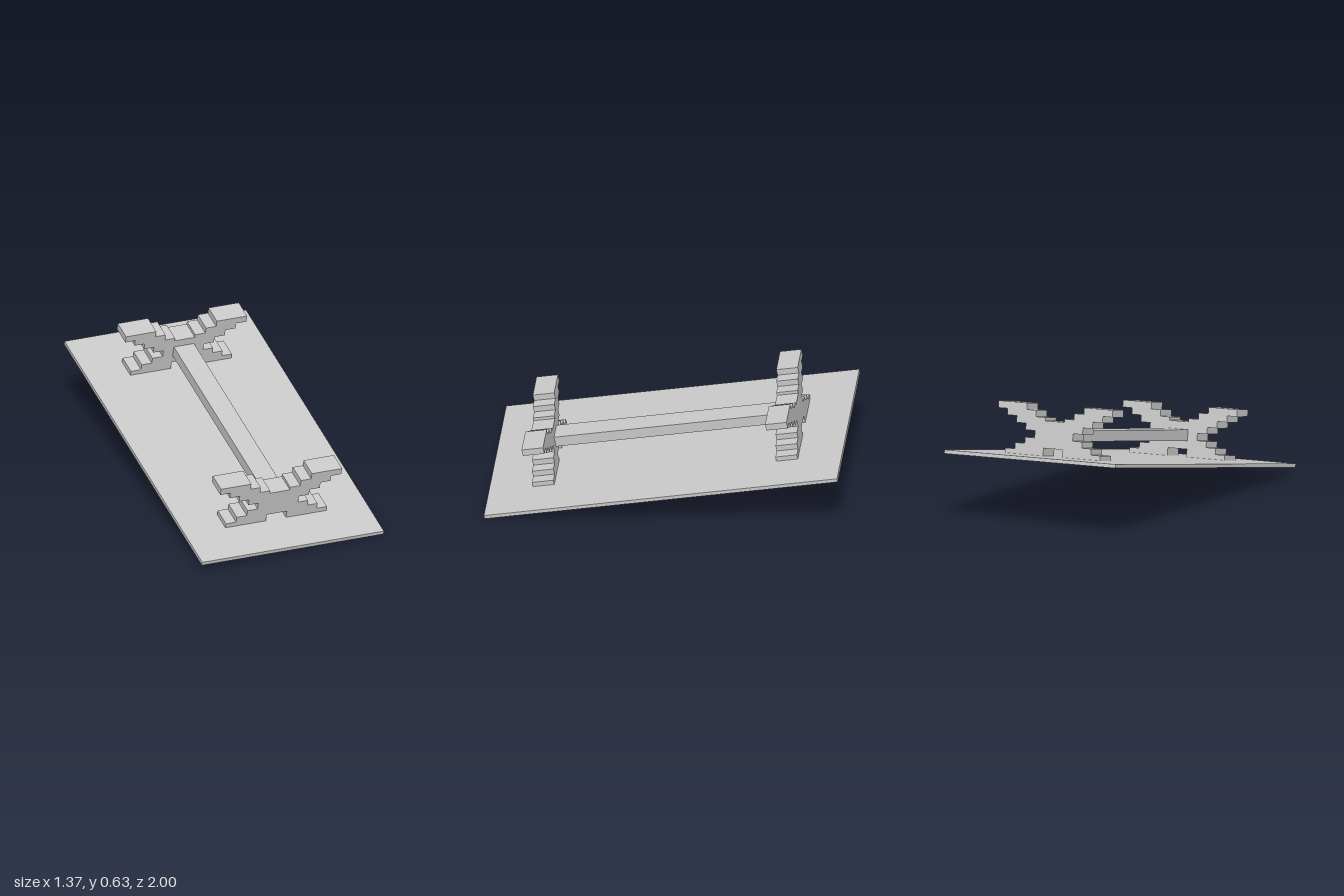
import * as THREE from 'three';

export function createModel() {
  const mat = new THREE.MeshStandardMaterial({ color: 0xcccccc, flatShading: true });
  const S = 0.0567; // stair step width
  const model = new THREE.Group();
  model.name = 'tiltedStand';

  // everything is built flat (plate top at y = 0), then tilted and turned
  const body = new THREE.Group();
  body.name = 'body';
  body.rotation.set(0.198, -0.2, 0, 'XYZ');
  body.position.y = 0.22;
  model.add(body);

  function box(name, w, h, d, y) {
    const m = new THREE.Mesh(new THREE.BoxGeometry(w, h, d), mat);
    m.name = name;
    m.position.y = y;
    body.add(m);
  }

  // base plate and the beam joining the two supports
  box('basePlate', 18 * S, 0.02, 33 * S, -0.01);
  box('beam', 2 * S, 0.058, 1.18, 0.113);

  // right half of the stepped X profile: x in steps, y in units
  const half = [
    [1, 0.041], [1, 0], [5, 0], [5, 0.026], [4, 0.026], [4, 0.058], [3, 0.058], [3, 0.09],
    [2, 0.09], [2, 0.128], [3, 0.128], [3, 0.162], [4, 0.162], [4, 0.197], [5, 0.197],
    [5, 0.23], [6, 0.23], [6, 0.267], [3, 0.267], [3, 0.233], [2, 0.233], [2, 0.2],
    [1, 0.2], [1, 0.183],
  ];
  const mirrored = half.map(([x, y]) => [-x, y]).reverse();
  const profile = new THREE.Shape(
    [...half, ...mirrored].map(([x, y]) => new THREE.Vector2(x * S, y))
  );
  const depth = 2 * S;
  const supportGeo = new THREE.ExtrudeGeometry(profile, { depth, bevelEnabled: false });
  supportGeo.translate(0, 0, -depth / 2);

  // one support at each end of the beam
  for (const [name, side] of [['frontSupport', 1], ['backSupport', -1]]) {
    const support = new THREE.Mesh(supportGeo, mat);
    support.name = name;
    support.position.z = side * 0.645;
    body.add(support);
  }

  return model;
}
